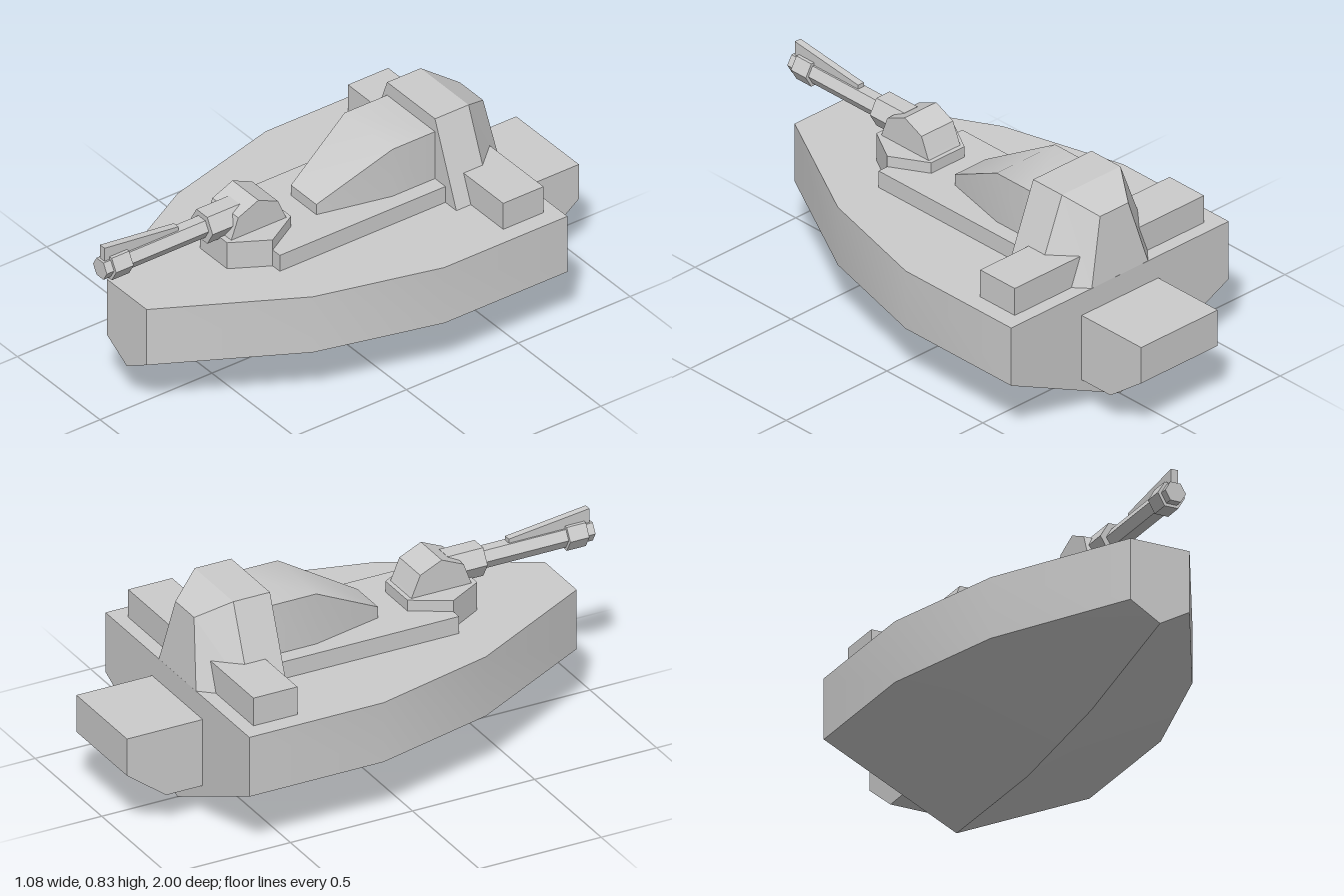
import * as THREE from 'three';
import { toCreasedNormals } from 'three/addons/utils/BufferGeometryUtils.js';

const smooth = new THREE.MeshStandardMaterial({ color: 0xcccccc });
const flat = new THREE.MeshStandardMaterial({ color: 0xcccccc, flatShading: true });

// Closed loft through rings ordered back to front, each counterclockwise seen from +z
function loft(rings) {
  const n = rings[0].length, index = [];
  for (let r = 0; r < rings.length - 1; r++) {
    for (let i = 0; i < n; i++) {
      const a = r * n + i, b = r * n + (i + 1) % n;
      index.push(a, b, b + n, a, b + n, a + n);
    }
  }
  const f = (rings.length - 1) * n;
  for (let i = 1; i < n - 1; i++) index.push(0, i + 1, i, f, f + i, f + i + 1);
  const geo = new THREE.BufferGeometry();
  geo.setAttribute('position', new THREE.Float32BufferAttribute(rings.flat(2), 3));
  geo.setIndex(index);
  geo.computeVertexNormals();
  return geo;
}

// Side profile of [z, y] points, extruded across x
function sideProfile(points, width) {
  const shape = new THREE.Shape(points.map(([z, y]) => new THREE.Vector2(z, y)));
  const geo = new THREE.ExtrudeGeometry(shape, { depth: width, bevelEnabled: false });
  return geo.translate(0, 0, -width / 2).rotateY(-Math.PI / 2);
}

// Box given by its limits
function box(x0, x1, y0, y1, z0, z1) {
  return new THREE.BoxGeometry(x1 - x0, y1 - y0, z1 - z0)
    .translate((x0 + x1) / 2, (y0 + y1) / 2, (z0 + z1) / 2);
}

const hexPrism = (radius, height) =>
  new THREE.CylinderGeometry(radius, radius, height, 6, 1, false, Math.PI / 6);

export function createModel() {
  const model = new THREE.Group();
  model.name = 'gunboat';
  const add = (name, geo, material = flat) => {
    const mesh = new THREE.Mesh(geo, material);
    mesh.name = name;
    model.add(mesh);
  };
  const crease = THREE.MathUtils.degToRad(31);

  // V-bottomed hull: z, half width, keel height
  const hullStations = [[-0.69, 0.54, 0], [-0.14, 0.54, 0], [0.35, 0.41, 0.06], [0.88, 0.12, 0.185]];
  const hull = loft(hullStations.map(([z, w, k]) =>
    [[0, k, z], [w, 0.255, z], [w, 0.497, z], [-w, 0.497, z], [-w, 0.255, z]]));
  add('hull', toCreasedNormals(hull, crease), smooth);

  // Engine block hung on the stern
  add('sternBlock', sideProfile(
    [[-0.69, 0.405], [-1, 0.405], [-1, 0.255], [-0.84, 0.135], [-0.69, 0.135]], 0.38));

  // Raised deck and the sloping cabin on it
  add('raisedDeck', box(-0.208, 0.208, 0.49, 0.566, -0.4, 0.35));
  const cabin = loft([[-0.4, 0.145, 0.77], [-0.2, 0.145, 0.77], [0.09, 0.077, 0.61]].map(([z, w, y]) =>
    [[-w, 0.5, z], [w, 0.5, z], [w, y, z], [-w, y, z]]));
  add('cabin', toCreasedNormals(cabin, crease), smooth);

  // Tapered tower at the back of the deck
  const towerRing = (zLow, wLow, zTop, wTop, yTop) =>
    [[-wLow, 0.495, zLow], [wLow, 0.495, zLow], [wTop, yTop, zTop], [-wTop, yTop, zTop]];
  add('tower', loft([
    towerRing(-0.69, 0.14, -0.66, 0.07, 0.757),
    towerRing(-0.54, 0.275, -0.54, 0.145, 0.826),
    towerRing(-0.39, 0.275, -0.39, 0.145, 0.826),
  ]));

  // Side lockers
  for (const [side, s] of [['left', 1], ['right', -1]]) {
    add(side + 'Locker', box(Math.min(s * 0.13, s * 0.47), Math.max(s * 0.13, s * 0.47),
      0.49, 0.61, -0.635, -0.455));
  }

  // Gun turret
  add('turretBase', hexPrism(0.165, 0.12).translate(0, 0.55, 0.35));
  add('turretDome', sideProfile(
    [[0.22, 0.6], [0.23, 0.62], [0.262, 0.695], [0.35, 0.735], [0.44, 0.695], [0.475, 0.6]], 0.157));

  // Gun: hexagonal sections along z, from z0 to z1
  const gunPart = (name, radius, z0, z1) =>
    add(name, hexPrism(radius, z1 - z0).rotateX(Math.PI / 2).translate(0, 0.657, (z0 + z1) / 2));
  gunPart('gunMantlet', 0.066, 0.4, 0.545);
  gunPart('gunBarrel', 0.042, 0.5, 1);
  gunPart('muzzleCollar', 0.055, 0.89, 0.968);
  add('gunSight', sideProfile([[0.66, 0.68], [0.99, 0.68], [0.99, 0.75], [0.66, 0.71]], 0.028));

  return model;
}
